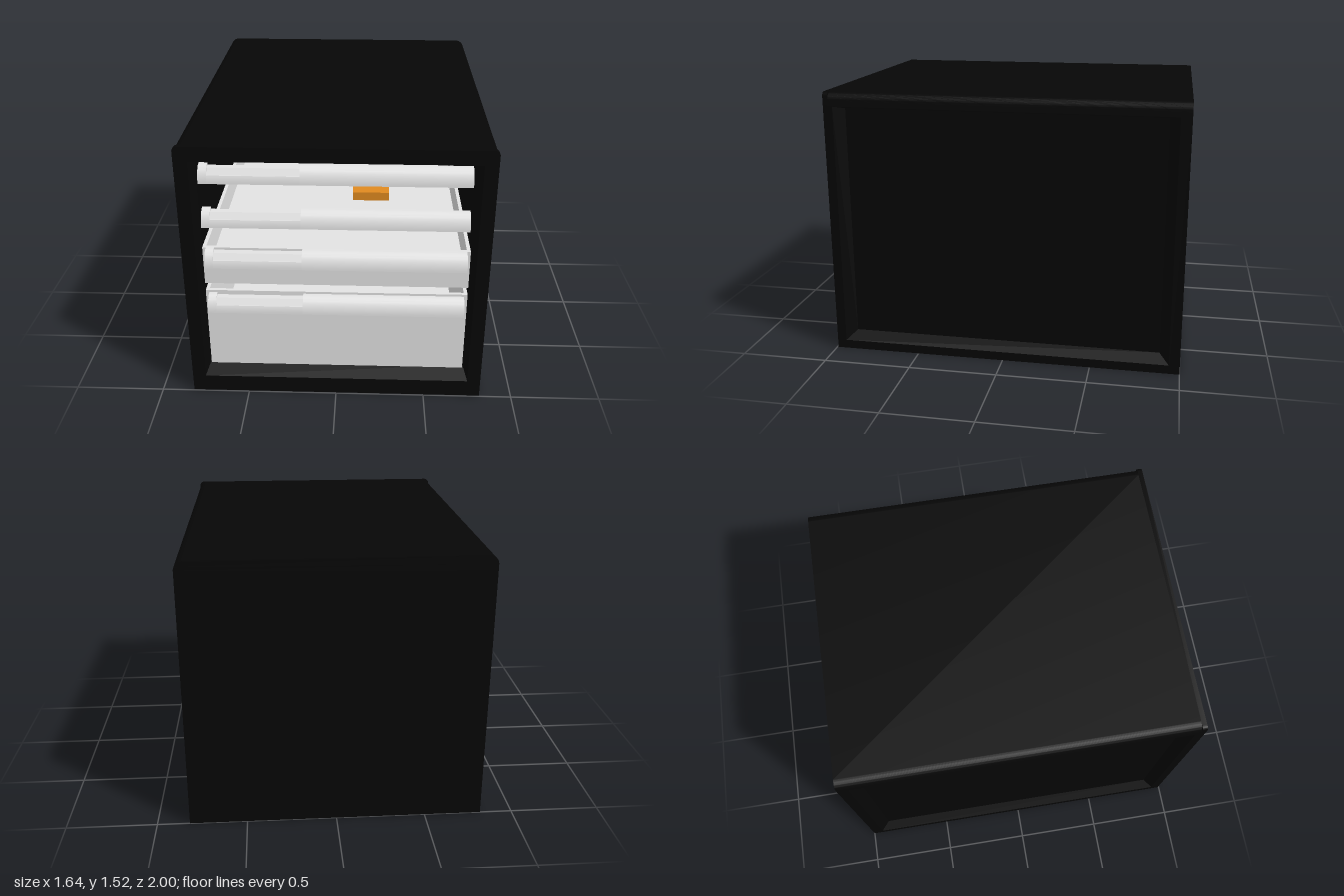
import * as THREE from 'three';
import { toCreasedNormals } from 'three/addons/utils/BufferGeometryUtils.js';

function colour(name, hex) {
  const m = new THREE.MeshStandardMaterial({ color: hex });
  m.name = name;
  return m;
}
const black = colour('cabinetBlack', 0x060606);
const grey = colour('drawerGrey', 0xe3e3e3);
const orange = colour('itemOrange', 0xe08a20);

function add(parent, name, geometry, material) {
  const mesh = new THREE.Mesh(geometry, material);
  mesh.name = name;
  parent.add(mesh);
  return mesh;
}

// Box given by its lower and upper bounds on each axis
function block(parent, name, material, [x0, x1], [y0, y1], [z0, z1]) {
  const mesh = add(parent, name, new THREE.BoxGeometry(x1 - x0, y1 - y0, z1 - z0), material);
  mesh.position.set((x0 + x1) / 2, (y0 + y1) / 2, (z0 + z1) / 2);
}

// Runs a [z, y] profile along x
function sweepX(points, x0, x1) {
  const shape = new THREE.Shape(points.map(([z, y]) => new THREE.Vector2(-z, y)));
  const g = new THREE.ExtrudeGeometry(shape, { depth: x1 - x0, bevelEnabled: false });
  g.rotateY(Math.PI / 2);
  g.translate(x0, 0, 0);
  return toCreasedNormals(g, 0.5);
}

// Roof section with rounded upper corners, from z0 to z1
function roofSlab(r, z0, z1) {
  const w = 0.82, top = 1.52;
  const s = new THREE.Shape();
  s.moveTo(-w, 1.44);
  s.lineTo(w, 1.44);
  s.lineTo(w, top - r);
  s.absarc(w - r, top - r, r, 0, Math.PI / 2, false);
  s.lineTo(-w + r, top);
  s.absarc(-w + r, top - r, r, Math.PI / 2, Math.PI, false);
  s.closePath();
  const g = new THREE.ExtrudeGeometry(s, { depth: z1 - z0, bevelEnabled: false, curveSegments: 8 });
  g.translate(0, 0, z0);
  return toCreasedNormals(g, 0.5);
}

// Sloped frame facing +z: from an outer rectangle at z = 0 to an inner one at z = -depth
function slopedFrame(outer, inner, depth) {
  const corners = ([u0, u1, v0, v1], z) => [[u0, v0, z], [u1, v0, z], [u1, v1, z], [u0, v1, z]];
  const a = corners(outer, 0), b = corners(inner, -depth);
  const pos = [];
  for (let i = 0; i < 4; i++) {
    const j = (i + 1) % 4;
    pos.push(...a[i], ...a[j], ...b[j], ...a[i], ...b[j], ...b[i]);
  }
  const g = new THREE.BufferGeometry();
  g.setAttribute('position', new THREE.Float32BufferAttribute(pos, 3));
  g.computeVertexNormals();
  return g;
}

function cabinet() {
  const g = new THREE.Group();
  g.name = 'cabinet';
  const w = 0.82, front = 0.993;
  add(g, 'roof', roofSlab(0.05, -1, 0.965), black);
  add(g, 'frontRoofRim', roofSlab(0.025, 0.965, front), black);
  block(g, 'base', black, [-0.77, 0.77], [0, 0.1], [-1, front]);
  block(g, 'backPanel', black, [-0.77, 0.77], [0.1, 1.44], [-1, -0.95]);
  // Sloped surround of the drawer opening
  const surround = slopedFrame([-0.747, 0.747, 0.1, 1.44], [-0.725, 0.725, 0.145, 1.42], 0.09);
  add(g, 'openingSurround', surround, black).position.z = front;

  // Side panels sunk between a sill and two posts
  for (const side of [-1, 1]) {
    const span = (a, b) => (side > 0 ? [a, b] : [-b, -a]);
    block(g, 'sidePanel', black, span(0.747, 0.77), [0.05, 1.44], [-0.94, 0.94]);
    block(g, 'frontPost', black, span(0.747, w), [0, 1.44], [0.94, front]);
    block(g, 'backPost', black, span(0.747, w), [0, 1.44], [-1, -0.94]);
    block(g, 'sideSill', black, span(0.747, w), [0, 0.05], [-0.94, 0.94]);
    const bevel = slopedFrame([-0.94, 0.94, 0.05, 1.44], [-0.885, 0.885, 0.1, 1.425], 0.05);
    const mesh = add(g, 'sideBevel', bevel, black);
    mesh.rotation.y = side * Math.PI / 2;
    mesh.position.x = side * w;
  }
  return g;
}

// Quarter-round grip bar with a label window near one end
function handle(y0) {
  const g = new THREE.Group();
  g.name = 'handle';
  const h = 0.09;
  const arc = [];
  for (let i = 0; i <= 12; i++) {
    const a = (i / 12) * Math.PI / 2;
    arc.push([0.94 + 0.06 * Math.cos(a), h * Math.sin(a)]);
  }
  const full = [[0.93, 0], ...arc, [0.93, h]];
  const window = [[0.93, 0], ...arc.filter(p => p[1] < 0.044),
    [0.992, 0.044], [0.988, 0.044], [0.965, 0.077], [0.93, 0.077]];
  add(g, 'gripEnd', sweepX(full, -0.7, -0.655), grey);
  add(g, 'labelWindow', sweepX(window, -0.655, -0.18), grey);
  add(g, 'grip', sweepX(full, -0.18, 0.7), grey);
  g.position.y = y0;
  return g;
}

// Open-topped drawer box
function drawer(y0, y1, floorY) {
  const g = new THREE.Group();
  g.name = 'drawer';
  block(g, 'drawerFront', grey, [-0.72, 0.72], [y0, y1], [0.91, 0.93]);
  block(g, 'drawerBack', grey, [-0.72, 0.72], [y0, y1], [-0.92, -0.9]);
  block(g, 'drawerFloor', grey, [-0.7, 0.7], [floorY - 0.02, floorY], [-0.9, 0.91]);
  for (const x of [-0.72, 0.7]) {
    block(g, 'drawerSide', grey, [x, x + 0.02], [y0, y1], [-0.9, 0.91]);
  }
  return g;
}

export function createModel() {
  const model = new THREE.Group();
  model.name = 'drawerCabinet';
  model.add(cabinet());
  for (const y of [1.32, 1.067, 0.82, 0.537]) model.add(handle(y));
  model.add(drawer(0.685, 0.91, 0.765));
  model.add(drawer(0.147, 0.64, 0.2));
  // Small item lying in the upper drawer
  block(model, 'storedItem', orange, [0.07, 0.3], [0.765, 0.82], [-0.15, 0.04]);
  return model;
}
